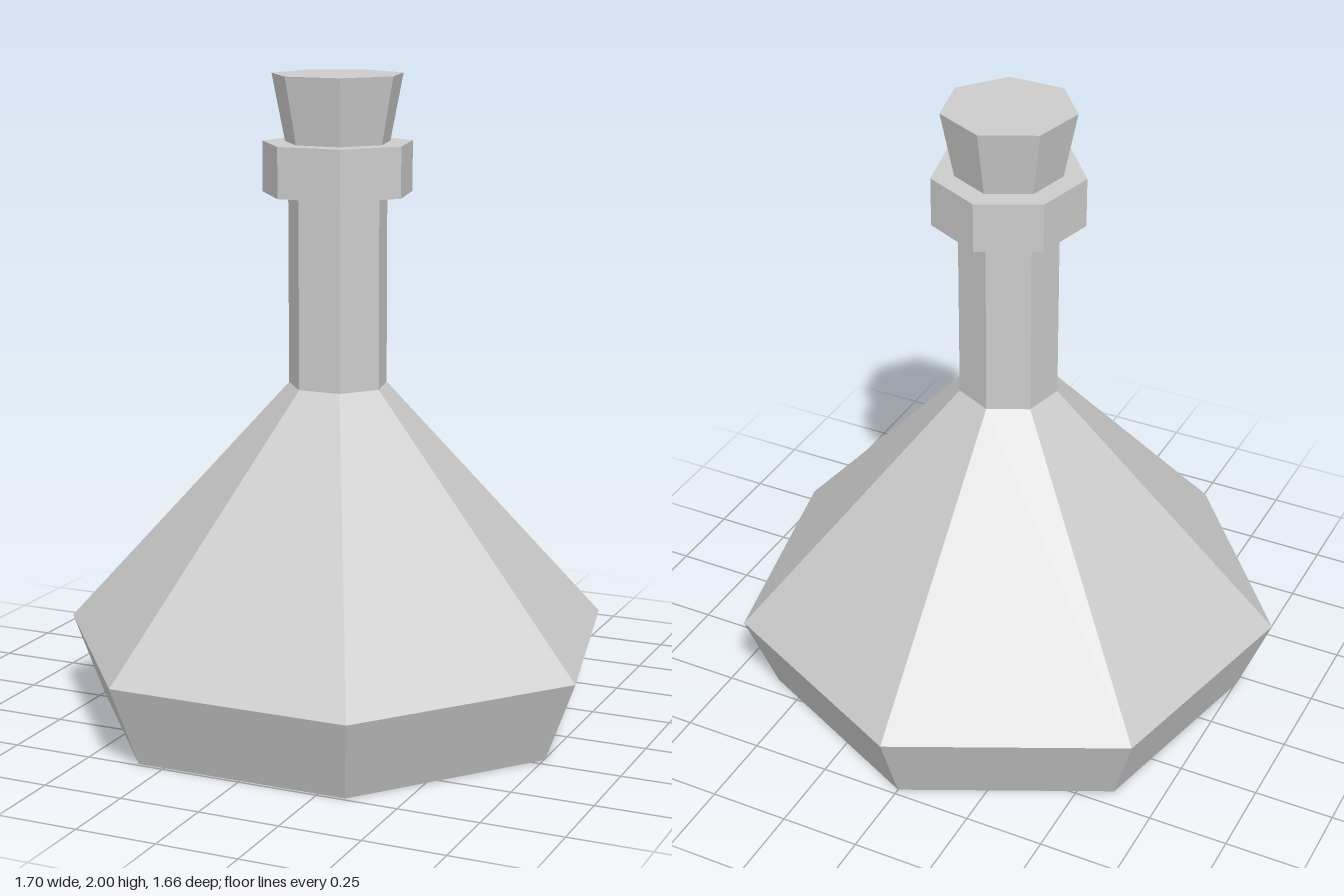
import * as THREE from 'three';

const SIDES = 7;

// Seven-sided turned part; profile is a list of [radius, height], corner towards the back
function turned(name, profile, material) {
  const points = profile.map(([r, y]) => new THREE.Vector2(r, y));
  const mesh = new THREE.Mesh(new THREE.LatheGeometry(points, SIDES, Math.PI), material);
  mesh.name = name;
  return mesh;
}

export function createModel() {
  const material = new THREE.MeshStandardMaterial({ color: 0xcccccc, flatShading: true });
  const group = new THREE.Group();
  group.name = 'flask';

  // Hollow body and neck with wall thickness, open underneath
  group.add(turned('bodyAndNeck', [
    [0.773, 0], [0.873, 0.255], [0.155, 1.05], [0.155, 1.79],
    [0.12, 1.79], [0.12, 1.03], [0.833, 0.24], [0.733, 0.015], [0.773, 0],
  ], material));

  // Collar around the mouth
  group.add(turned('collar', [
    [0.15, 1.64], [0.235, 1.64], [0.235, 1.795], [0.12, 1.795],
  ], material));

  // Flared stopper
  group.add(turned('stopper', [
    [0, 1.79], [0.163, 1.79], [0.205, 2], [0, 2],
  ], material));

  // A heptagon's bounds are not centred on its axis
  group.children.forEach((part) => { part.position.z = 0.043; });
  return group;
}
